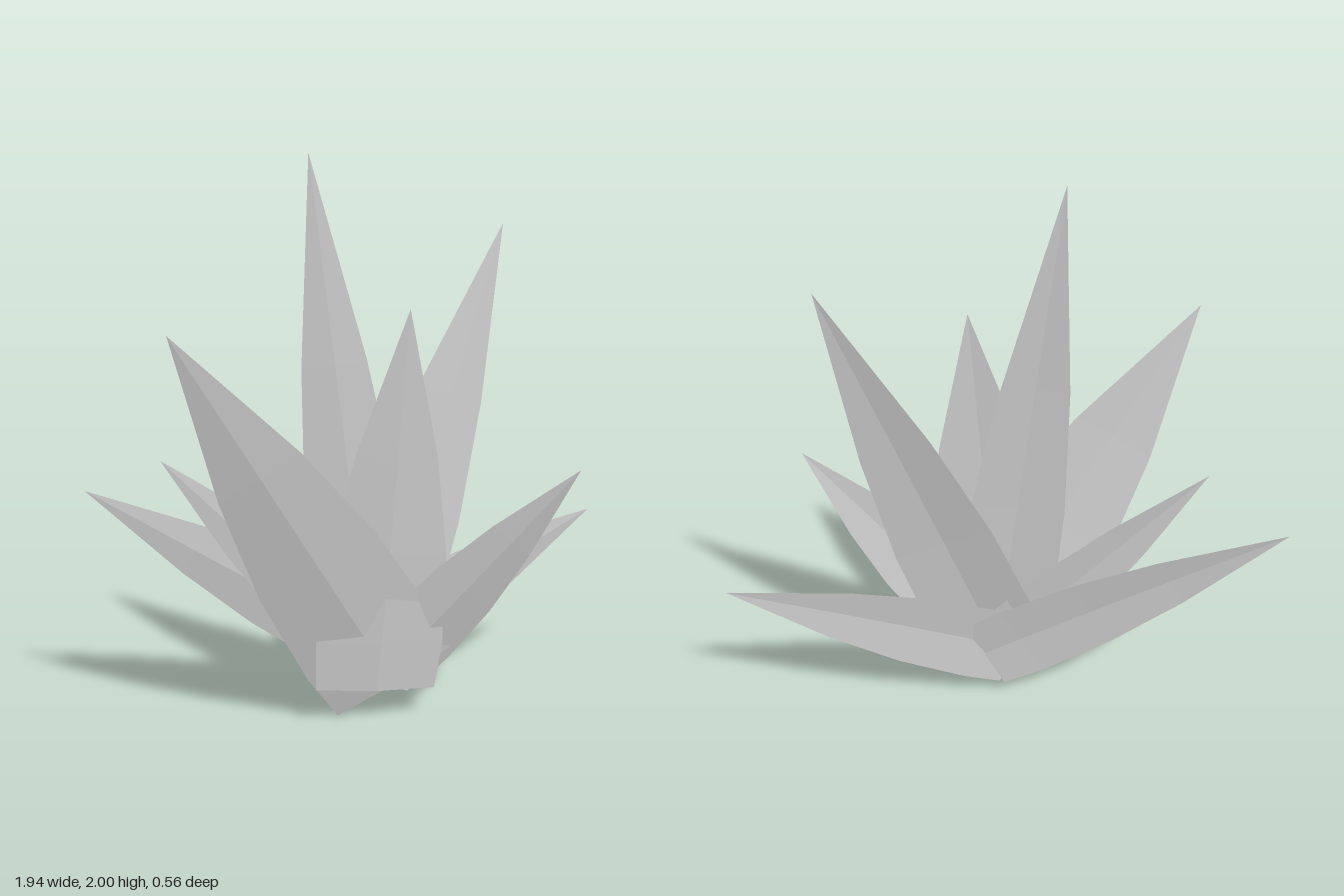
import * as THREE from 'three';

// Blade outline: [fraction of length, half width relative to the base]
const PROFILE = [[0, 1], [0.13, 1.06], [0.375, 0.97], [0.63, 0.67], [1, 0]];

// Each leaf: base centre and tip in the front plane, base half width,
// and its lean, z = z0 + kx * x + ky * y
const LEAVES = [
  { name: 'tallCentreLeaf', base: [0.04, 0.07], tip: [-0.19, 2.0], width: 0.175, lean: [-0.045, 0, 0.004] },
  { name: 'tallLeftLeaf', base: [0.0, 0.1], tip: [0.58, 1.76], width: 0.186, lean: [-0.06, 0, -0.114] },
  { name: 'frontCentreLeaf', base: [0.02, 0.115], tip: [0.12, 1.49], width: 0.22, lean: [0.055, 0, 0.053] },
  { name: 'frontRightLeaf', base: [0.095, 0.12], tip: [-0.7, 1.44], width: 0.2375, lean: [0, 0, 0.195] },
  { name: 'frontLeftLeaf', base: [0.1, 0.21], tip: [0.735, 0.915], width: 0.147, lean: [-0.005, 0, 0.2] },
  { name: 'middleRightLeaf', base: [0.03, 0.2], tip: [-0.71, 0.965], width: 0.13, lean: [-0.102, -0.017, 0] },
  { name: 'backRightLeaf', base: [0.08, 0.19], tip: [-0.97, 0.83], width: 0.148, lean: [-0.145, 0.125, 0] },
  { name: 'backLeftLeaf', base: [-0.043, 0.194], tip: [0.97, 0.64], width: 0.156, lean: [-0.12, -0.165, 0] },
];

const material = new THREE.MeshStandardMaterial({
  color: 0xcccccc, flatShading: true, side: THREE.DoubleSide,
});

// Thin pointed blade with a shallow ridge down the middle
function makeLeaf({ name, base, tip, width, lean: [z0, kx, ky] }) {
  const start = new THREE.Vector2(...base);
  const end = new THREE.Vector2(...tip);
  const along = end.clone().sub(start).normalize();
  const across = new THREE.Vector2(along.y, -along.x);
  const positions = [];
  const index = [];

  PROFILE.forEach(([t, w], row) => {
    for (const side of [-1, 0, 1]) {
      const p = start.clone().lerp(end, t).addScaledVector(across, side * w * width);
      const ridge = side === 0 ? 0.1 * w * width : 0;
      positions.push(p.x, p.y, z0 + kx * p.x + ky * p.y + ridge);
    }
    if (row === 0) return;
    for (let i = 0; i < 2; i++) {
      const a = (row - 1) * 3 + i;
      const b = a + 1, c = a + 3, d = a + 4;
      index.push(a, b, d);
      // the last row meets in a point
      if (w > 0) index.push(a, d, c);
    }
  });

  const geometry = new THREE.BufferGeometry();
  geometry.setAttribute('position', new THREE.Float32BufferAttribute(positions, 3));
  geometry.setIndex(index);
  geometry.computeVertexNormals();
  const mesh = new THREE.Mesh(geometry, material);
  mesh.name = name;
  return mesh;
}

export function createModel() {
  const plant = new THREE.Group();
  plant.name = 'spikyPlant';
  for (const leaf of LEAVES) plant.add(makeLeaf(leaf));
  return plant;
}
